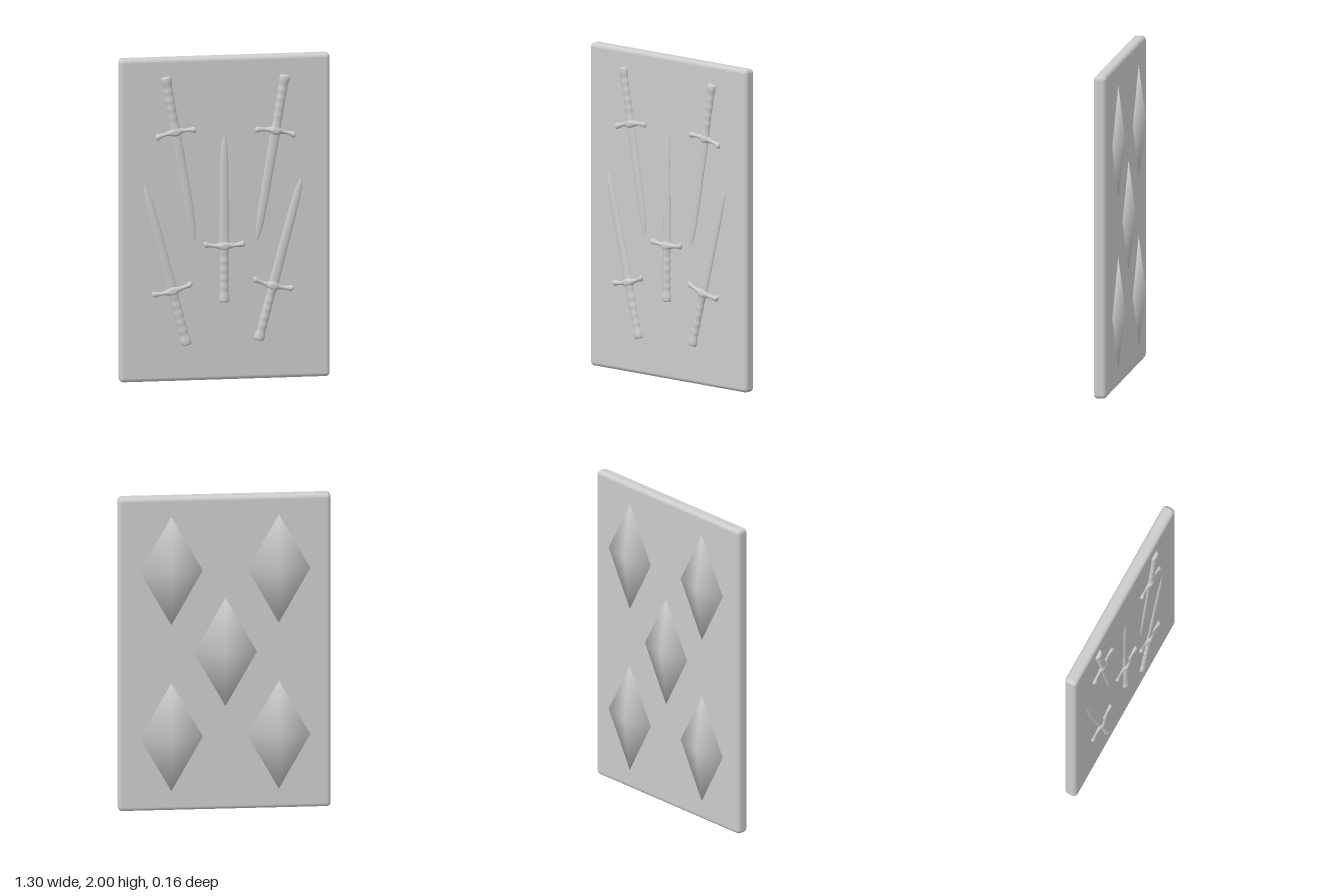
import * as THREE from 'three';
import { mergeVertices } from 'three/addons/utils/BufferGeometryUtils.js';
import { RoundedBoxGeometry } from 'three/addons/geometries/RoundedBoxGeometry.js';

const material = new THREE.MeshStandardMaterial({ color: 0xcccccc, roughness: 0.7 });
const BACK = -0.025, FRONT = 0.055;

function addMesh(parent, name, geometry) {
  const mesh = new THREE.Mesh(geometry, material);
  mesh.name = name;
  parent.add(mesh);
  return mesh;
}

// Smooth lathe through [radius, height] points, flattened in depth
function turned(points, depth, samples = 40) {
  const curve = new THREE.SplineCurve(points.map(([r, y]) => new THREE.Vector2(r, y)));
  const profile = curve.getPoints(samples).map(p => p.setX(Math.max(p.x, 0)));
  return new THREE.LatheGeometry(profile, 20).scale(1, 1, depth);
}

// Blade points along +y, with the crossguard at the origin
const blade = turned([
  [0.031, -0.01], [0.03, 0.05], [0.028, 0.2], [0.027, 0.4],
  [0.024, 0.54], [0.018, 0.62], [0.009, 0.665], [0, 0.687],
], 0.45);

// Grip with soft ridges and a wider pommel
const gripPoints = [[0, -0.347], [0.026, -0.345], [0.033, -0.33], [0.031, -0.305]];
for (let i = 0; i < 10; i++) {
  gripPoints.push([0.027 + (i % 2 ? 0.0015 : -0.001), -0.28 + i * 0.027]);
}
gripPoints.push([0.031, -0.01], [0.03, 0.01]);
const grip = turned(gripPoints, 0.75, 70);

// Crossguard with knobbed ends, arms bent slightly towards the tip
const guard = turned([
  [0, -0.128], [0.014, -0.124], [0.019, -0.112], [0.015, -0.095], [0.012, -0.07],
  [0.016, -0.04], [0.028, -0.015], [0.03, 0], [0.028, 0.015], [0.016, 0.04],
  [0.012, 0.07], [0.015, 0.095], [0.019, 0.112], [0.014, 0.124], [0, 0.128],
], 1, 60).rotateZ(-Math.PI / 2);
const gp = guard.attributes.position;
for (let i = 0; i < gp.count; i++) {
  const x = gp.getX(i);
  gp.setY(i, gp.getY(i) + 0.9 * x * x);
  gp.setZ(i, THREE.MathUtils.clamp(gp.getZ(i), -0.026, 0.026));
}
guard.computeVertexNormals();

function addSword(parent, [px, py], [tx, ty]) {
  const sword = new THREE.Group();
  sword.name = 'sword';
  addMesh(sword, 'blade', blade);
  addMesh(sword, 'grip', grip);
  addMesh(sword, 'crossguard', guard);
  const t = 0.336; // crossguard position between pommel and tip
  sword.position.set(px + (tx - px) * t, py + (ty - py) * t, FRONT);
  sword.rotation.z = Math.atan2(px - tx, ty - py);
  parent.add(sword);
}

export function createModel() {
  const model = new THREE.Group();
  model.name = 'reliefCard';

  // Card slab with rounded edges
  const card = addMesh(model, 'card', new RoundedBoxGeometry(1.296, 2, FRONT - BACK, 5, 0.026));
  card.position.set(0, 1, (FRONT + BACK) / 2);

  // Five swords on the front: pommel end, blade tip
  const swords = [
    [[-0.365, 1.888], [-0.185, 0.865]],
    [[0.37, 1.878], [0.196, 0.857]],
    [[-0.005, 0.48], [-0.005, 1.515]],
    [[-0.235, 0.222], [-0.495, 1.222]],
    [[0.206, 0.238], [0.47, 1.236]],
  ];
  swords.forEach(([pommel, tip]) => addSword(model, pommel, tip));

  // Five shallow four-sided gems standing just off the back
  const cone = new THREE.ConeGeometry(1, 1, 4);
  cone.deleteAttribute('normal');
  cone.deleteAttribute('uv');
  const gem = mergeVertices(cone);
  gem.translate(0, 0.5, 0).rotateX(-Math.PI / 2).scale(0.192, 0.345, 0.046);
  gem.computeVertexNormals();
  const centres = [[-0.33, 1.535], [0.325, 1.535], [-0.005, 1.01], [-0.33, 0.475], [0.325, 0.475]];
  for (const [x, y] of centres) {
    addMesh(model, 'backGem', gem).position.set(x, y, -0.038);
  }
  return model;
}
